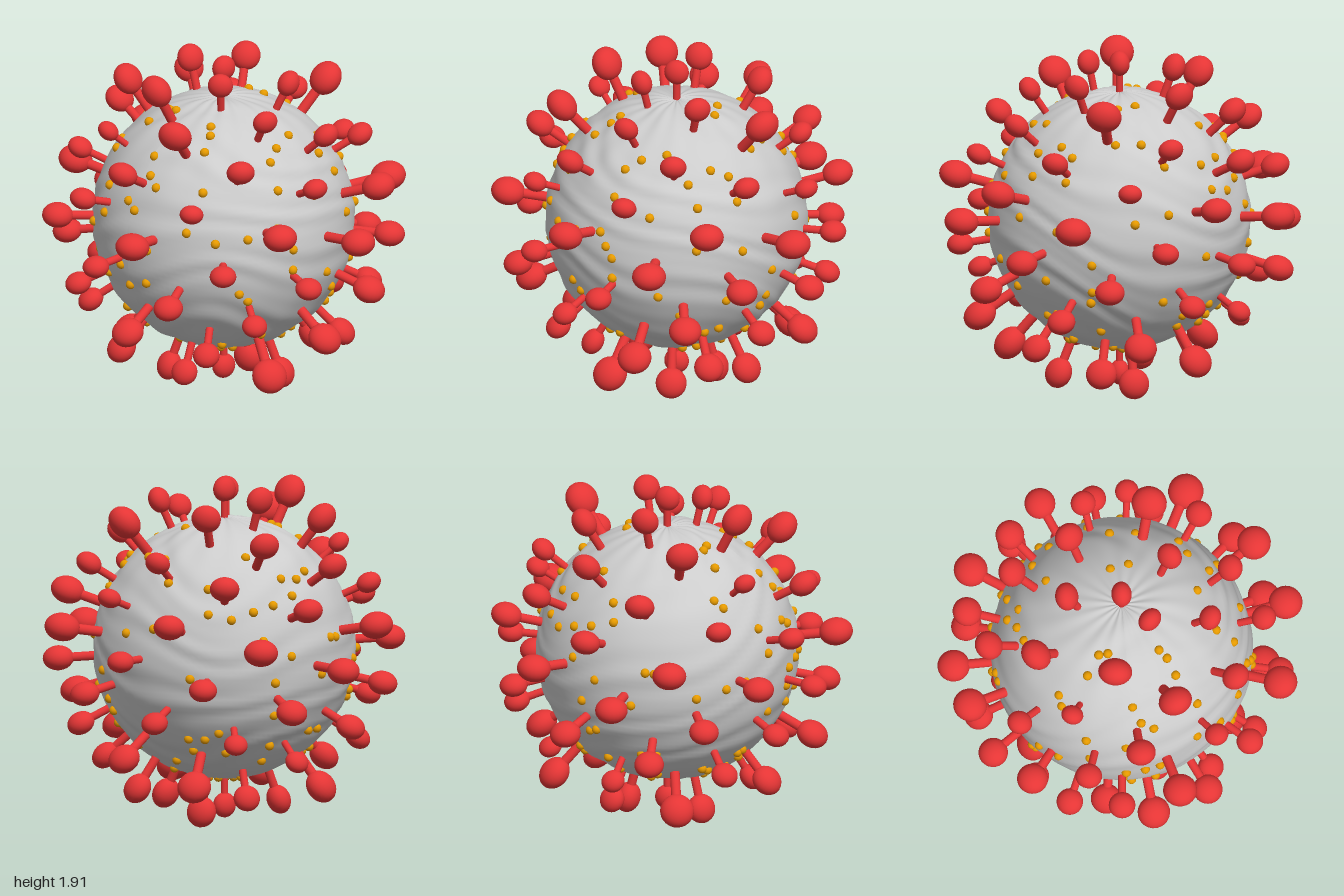
import * as THREE from 'three';

const RADIUS = 0.715;
const GOLDEN = Math.PI * (3 - Math.sqrt(5));

const grey = new THREE.MeshStandardMaterial({ color: 0xcccccc });
const red = new THREE.MeshStandardMaterial({ color: 0xe53535 });
const amber = new THREE.MeshStandardMaterial({ color: 0xe69a00 });

// Reach of each spike head from the centre, in hundredths, from the top spike to the bottom one
const REACH = [
  87, 87, 89, 88, 93, 90, 87, 92, 94, 93, 90, 88, 85, 87,
  89, 90, 88, 90, 90, 87, 87, 86, 86, 90, 93, 88, 91, 93,
  93, 94, 93, 93, 93, 91, 88, 88, 92, 91, 88, 89, 88, 90,
  90, 90, 91, 92, 88, 88, 87, 90, 89, 92, 86, 93, 88, 92,
  88, 86, 90, 91, 93, 94, 93, 91, 88, 88, 91, 90, 91, 87,
];

// Bead places on the front (x, y), the left flank (z, y) and the top (x, z), y from the centre
const FRONT = [
  [.07, .29], [-.15, .36], [-.12, .49], [-.04, .54], [.09, .57], [.24, .45], [.33, .5], [.31, .34],
  [.33, .12], [-.21, .17], [-.17, .1], [-.13, .04], [-.37, .13], [-.51, .11], [-.6, .16], [-.13, -.08],
  [.13, -.16], [.23, -.29], [-.4, -.19], [-.35, -.24], [.46, -.21], [-.16, -.51], [.32, -.44],
  [.39, -.42], [-.28, -.59], [.14, -.63], [.22, -.61], [.46, -.51], [.54, .08], [-.49, .37], [.42, .46],
];
const FLANK = [
  [-.13, .18], [.06, .14], [.29, -.09], [-.35, -.08], [.28, -.25], [-.11, -.32], [.28, -.32],
  [-.13, .42], [.12, .53], [-.02, .53], [-.35, .4], [-.45, .41], [-.4, .27], [-.24, -.43],
  [-.32, -.43], [-.4, -.47], [-.4, -.39], [-.22, -.5], [.4, .34],
];
const TOP = [
  [.22, -.04], [.24, .06], [-.26, .18], [-.3, .22], [-.38, .26], [-.26, -.1], [-.26, -.15], [-.35, -.22],
  [.23, -.39], [-.07, -.54], [.02, -.57], [.12, -.55], [-.52, .01], [-.45, -.37], [-.4, -.38], [.45, -.5],
];

// Shallow slanting wrinkles over the ball
function surfaceRadius(d) {
  const warp = 1.3 * Math.sin(3 * d.x + 2 * d.z) + Math.sin(5 * d.z - 3 * d.y);
  const folds = Math.sin(24 * d.y + 7 * d.x - 6 * d.z + 2 * warp);
  const ripples = Math.sin(38 * d.y - 11 * d.z + 9 * d.x + 3 * warp);
  const around = Math.sin(17 * Math.atan2(d.z, d.x) + 6 * d.y);
  return RADIUS + 0.0035 * folds + 0.002 * ripples + 0.0025 * around * Math.abs(d.y);
}

function makeBody() {
  const geometry = new THREE.SphereGeometry(1, 128, 80);
  const p = geometry.attributes.position;
  const d = new THREE.Vector3();
  for (let i = 0; i < p.count; i++) {
    d.fromBufferAttribute(p, i).normalize();
    d.multiplyScalar(surfaceRadius(d));
    p.setXYZ(i, d.x, d.y, d.z);
  }
  geometry.computeVertexNormals();
  const body = new THREE.Mesh(geometry, grey);
  body.name = 'body';
  return body;
}

const headShape = new THREE.SphereGeometry(1, 24, 16);
const stemShape = new THREE.CylinderGeometry(1, 1, 1, 16).rotateX(Math.PI / 2);
const beadShape = new THREE.SphereGeometry(0.026, 12, 8);

// A stem and a flattened head along local z, turned to face outwards
function makeSpike(direction, reach) {
  const spike = new THREE.Group();
  spike.name = 'spike';
  const size = 0.065 + 0.4 * (reach - 0.86);
  const start = RADIUS - 0.06;
  const end = reach - size * 0.5;

  const stem = new THREE.Mesh(stemShape, red);
  stem.name = 'spikeStem';
  stem.scale.set(size * 0.29, size * 0.29, end - start);
  stem.position.z = (start + end) / 2;

  const head = new THREE.Mesh(headShape, red);
  head.name = 'spikeHead';
  head.scale.set(size, size * 0.8, size);
  head.position.z = reach;

  spike.add(stem, head);
  spike.lookAt(direction);
  return spike;
}

function makeSpikes() {
  const spikes = new THREE.Group();
  spikes.name = 'spikes';
  REACH.forEach((reach, i) => {
    const y = 1 - (2 * i) / (REACH.length - 1);
    const r = Math.sqrt(Math.max(0, 1 - y * y));
    const a = i * GOLDEN;
    spikes.add(makeSpike(new THREE.Vector3(r * Math.cos(a), y, r * Math.sin(a)), reach / 100));
  });
  return spikes;
}

function makeBeads() {
  const beads = new THREE.Group();
  beads.name = 'beads';
  const add = (x, y, z) => {
    const bead = new THREE.Mesh(beadShape, amber);
    bead.name = 'bead';
    bead.position.set(x, y, z).setLength(RADIUS);
    beads.add(bead);
  };
  const depth = (a, b) => Math.sqrt(Math.max(0, RADIUS * RADIUS - a * a - b * b));
  FRONT.forEach(([x, y]) => add(x, y, depth(x, y)));
  FLANK.forEach(([z, y]) => add(depth(z, y), y, z));
  TOP.forEach(([x, z]) => add(x, depth(x, z), z));

  // Scatter over the back, right flank and underside
  let seed = 11;
  const random = () => (seed = (seed * 16807) % 2147483647) / 2147483647;
  for (let n = 0; n < 52;) {
    const y = 2 * random() - 1;
    const a = 2 * Math.PI * random();
    const r = Math.sqrt(1 - y * y);
    const x = r * Math.cos(a), z = r * Math.sin(a);
    if (y > 0.6 || (y > -0.8 && (z > 0.35 || x > 0.5))) continue;
    add(x, y, z);
    n++;
  }
  return beads;
}

export function createModel() {
  const model = new THREE.Group();
  model.name = 'spikedBall';
  const ball = new THREE.Group();
  ball.name = 'ball';
  ball.add(makeBody(), makeSpikes(), makeBeads());
  ball.position.set(0.01, 0.967, 0);
  model.add(ball);
  return model;
}
